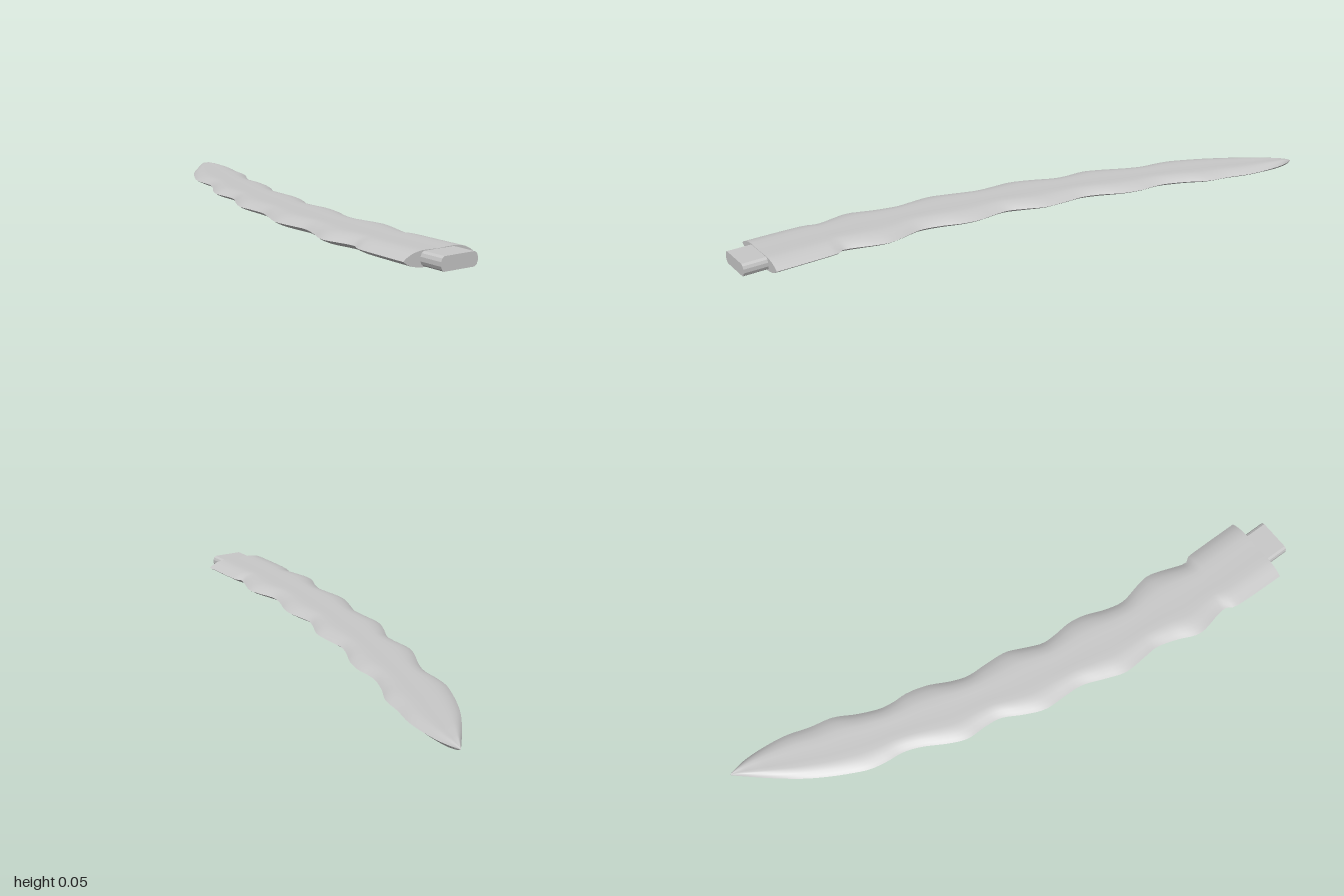
import * as THREE from 'three';

const MID = 0.0235; // height of the cutting edges
const BASE_Z = 0.92;

// Edge outlines as [z, x], from the base to the tip
const edgeA = [[0.92, -0.283], [0.8, -0.281], [0.72, -0.276], [0.69, -0.261], [0.65, -0.264], [0.56, -0.28],
  [0.48, -0.25], [0.41, -0.23], [0.36, -0.232], [0.27, -0.237], [0.2, -0.215], [0.12, -0.185], [0.05, -0.18],
  [-0.03, -0.178], [-0.1, -0.15], [-0.17, -0.113], [-0.23, -0.105], [-0.3, -0.104], [-0.36, -0.08],
  [-0.44, -0.035], [-0.5, -0.013], [-0.56, -0.007], [-0.62, 0.005], [-0.68, 0.032], [-0.75, 0.07],
  [-0.82, 0.115], [-0.9, 0.178], [-0.96, 0.23], [-1, 0.266]];
const edgeB = [[0.92, -0.03], [0.8, -0.03], [0.71, -0.032], [0.69, -0.045], [0.66, -0.038], [0.56, -0.005],
  [0.5, -0.01], [0.42, -0.027], [0.35, -0.013], [0.28, 0.013], [0.22, 0.022], [0.15, 0.016], [0.1, 0.018],
  [0.04, 0.043], [-0.02, 0.068], [-0.1, 0.073], [-0.17, 0.075], [-0.23, 0.095], [-0.3, 0.13], [-0.37, 0.149],
  [-0.43, 0.151], [-0.48, 0.16], [-0.55, 0.19], [-0.62, 0.228], [-0.7, 0.246], [-0.78, 0.27], [-0.86, 0.28],
  [-0.93, 0.281], [-0.98, 0.273], [-1, 0.266]];
// Half thickness as [z, height]
const thickness = [[0.92, 0.0235], [0.4, 0.022], [-0.2, 0.019], [-0.7, 0.0165], [-0.9, 0.015], [-0.96, 0.012],
  [-0.99, 0.006], [-1, 0]];
// Half cross-section: [fraction of width, fraction of half thickness], with a faint central hollow
const half = [[0, 0], [0.05, 0.37], [0.12, 0.72], [0.2, 0.92], [0.27, 1], [0.38, 0.98], [0.5, 0.93]];
const profile = [...half, ...half.slice(0, -1).reverse().map(([u, h]) => [1 - u, h])];

// Linear lookup in a table of falling z
function lookup(table, z) {
  let i = 1;
  while (i < table.length - 1 && table[i][0] > z) i++;
  const [z0, v0] = table[i - 1], [z1, v1] = table[i];
  return v0 + (v1 - v0) * THREE.MathUtils.clamp((z - z0) / (z1 - z0), 0, 1);
}

const smooth = (table) => new THREE.SplineCurve(table.map((p) => new THREE.Vector2(...p)))
  .getPoints(240).map((p) => [p.x, p.y]);

// One face of the blade, lofted from base to tip; side is 1 for top, -1 for bottom
function bladeFace(side) {
  const a = smooth(edgeA), b = smooth(edgeB);
  const rows = 120, cols = profile.length, pos = [], index = [];
  for (let i = 0; i <= rows; i++) {
    const t = i / rows;
    const z = BASE_Z - (BASE_Z + 1) * (1 - (1 - t) ** 1.2); // closer rows at the tip
    const xa = lookup(a, z), xb = lookup(b, z), h = lookup(thickness, z);
    for (const [u, f] of profile) pos.push(xa + (xb - xa) * u, MID + side * h * f, z);
  }
  for (let i = 0; i < rows; i++) {
    for (let j = 0; j < cols - 1; j++) {
      const p = i * cols + j, q = p + 1, r = q + cols, s = p + cols;
      if (side > 0) index.push(p, q, r, p, r, s);
      else index.push(p, r, q, p, s, r);
    }
  }
  const g = new THREE.BufferGeometry();
  g.setAttribute('position', new THREE.Float32BufferAttribute(pos, 3));
  g.setIndex(index);
  g.computeVertexNormals();
  return g;
}

// Flat end of the blade around the tang
function baseCap() {
  const x0 = edgeA[0][1], w = edgeB[0][1] - x0, h = thickness[0][1];
  const lower = profile.map(([u, f]) => new THREE.Vector2(x0 + w * u, MID - h * f));
  const upper = profile.slice(1, -1).reverse().map(([u, f]) => new THREE.Vector2(x0 + w * u, MID + h * f));
  return new THREE.ShapeGeometry(new THREE.Shape([...lower, ...upper])).translate(0, 0, BASE_Z);
}

// Short tang with bevelled sides
function tangGeometry() {
  const cx = -0.156, hw = 0.066, hh = 0.021;
  const outline = [[0.82, -1], [0.94, -0.75], [1, -0.3], [1, 0.3], [0.94, 0.75], [0.82, 1]];
  const points = [...outline, ...outline.map(([x, y]) => [-x, -y])]
    .map(([x, y]) => new THREE.Vector2(cx + x * hw, MID + y * hh));
  return new THREE.ExtrudeGeometry(new THREE.Shape(points), { depth: 0.1, bevelEnabled: false })
    .translate(0, 0, 0.9);
}

export function createModel() {
  const steel = new THREE.MeshStandardMaterial({ name: 'steel', color: 0xc8c8c8 });
  const model = new THREE.Group();
  model.name = 'wavyBlade';
  const add = (name, geometry) => {
    const mesh = new THREE.Mesh(geometry, steel);
    mesh.name = name;
    model.add(mesh);
  };
  add('bladeTop', bladeFace(1));
  add('bladeBottom', bladeFace(-1));
  add('bladeBase', baseCap());
  add('tang', tangGeometry());
  return model;
}
